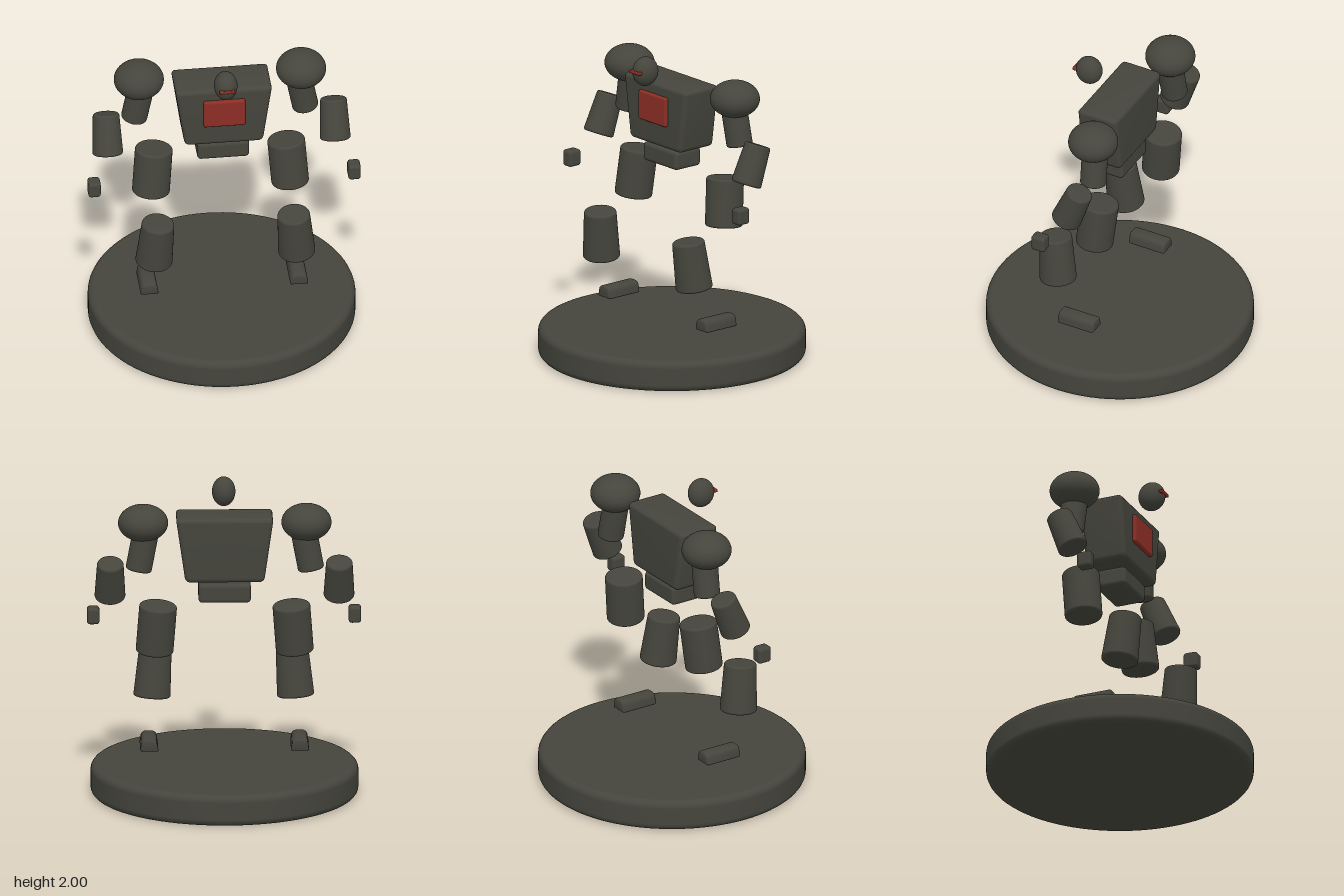
import * as THREE from 'three';
import { toCreasedNormals } from 'three/addons/utils/BufferGeometryUtils.js';
import { RoundedBoxGeometry } from 'three/addons/geometries/RoundedBoxGeometry.js';

const charcoal = new THREE.MeshStandardMaterial({ name: 'charcoal', color: 0x45453d });
const red = new THREE.MeshStandardMaterial({ name: 'red', color: 0x8c2e25 });

function part(name, geometry, material, x, y, z) {
  const mesh = new THREE.Mesh(geometry, material);
  mesh.name = name;
  mesh.position.set(x, y, z);
  return mesh;
}

// Upright solid of revolution with softened rims, centred on its middle
function softCylinder(rTop, rBottom, height, bevel, segments = 48) {
  const h = height / 2, points = [new THREE.Vector2(0, -h)];
  for (let i = 0; i <= 6; i++) {
    const a = (i / 6) * Math.PI / 2;
    points.push(new THREE.Vector2(rBottom - bevel + bevel * Math.sin(a), -h + bevel - bevel * Math.cos(a)));
  }
  for (let i = 0; i <= 6; i++) {
    const a = (i / 6) * Math.PI / 2;
    points.push(new THREE.Vector2(rTop - bevel + bevel * Math.cos(a), h - bevel + bevel * Math.sin(a)));
  }
  points.push(new THREE.Vector2(0, h));
  return new THREE.LatheGeometry(points, segments);
}

function ellipsoid(rx, ry, rz) {
  return new THREE.SphereGeometry(1, 48, 32).scale(rx, ry, rz);
}

// Trapezoid with rounded corners, extruded along z with softened faces
function softTrapezoid(halfTop, halfBottom, height, depth, rTop, rBottom, bevel) {
  const h = height / 2;
  const corners = [[-halfBottom, -h, rBottom], [halfBottom, -h, rBottom], [halfTop, h, rTop], [-halfTop, h, rTop]];
  const shape = new THREE.Shape();
  corners.forEach(([x, y, r], i) => {
    const c = new THREE.Vector2(x, y);
    const toward = (j) => {
      const [px, py] = corners[(i + j) % 4];
      return new THREE.Vector2(px, py).sub(c).setLength(r).add(c);
    };
    const a = toward(3), b = toward(1);
    if (i === 0) shape.moveTo(a.x, a.y); else shape.lineTo(a.x, a.y);
    shape.quadraticCurveTo(c.x, c.y, b.x, b.y);
  });
  shape.closePath();
  const geometry = new THREE.ExtrudeGeometry(shape, {
    depth: depth - 2 * bevel, bevelThickness: bevel, bevelSize: bevel,
    bevelOffset: -bevel, bevelSegments: 5, curveSegments: 6,
  });
  geometry.translate(0, 0, bevel - depth / 2);
  return toCreasedNormals(geometry, 0.6);
}

// Limb segment whose top points along the given direction
function limb(name, rTop, rBottom, length, position, up) {
  const mesh = part(name, softCylinder(rTop, rBottom, length, 0.015), charcoal, ...position);
  mesh.quaternion.setFromUnitVectors(new THREE.Vector3(0, 1, 0), new THREE.Vector3(...up).normalize());
  return mesh;
}

export function createModel() {
  const model = new THREE.Group();
  model.name = 'robotOnStand';

  // Stand
  model.add(part('base', softCylinder(0.844, 0.844, 0.2, 0.045, 96), charcoal, 0, 0.1, 0));

  // Torso
  model.add(part('chest', softTrapezoid(0.308, 0.248, 0.415, 0.28, 0.03, 0.035, 0.03), charcoal, 0, 1.608, 0.005));
  model.add(part('chestPanel', new RoundedBoxGeometry(0.264, 0.19, 0.04, 4, 0.012), red, 0, 1.648, 0.15));
  model.add(part('pelvis', new RoundedBoxGeometry(0.33, 0.123, 0.21, 4, 0.025), charcoal, 0, 1.322, 0.001));

  // Head
  model.add(part('head', ellipsoid(0.074, 0.094, 0.087), charcoal, 0, 1.906, 0.22));
  model.add(part('visor', new RoundedBoxGeometry(0.098, 0.02, 0.03, 3, 0.006), red, 0, 1.913, 0.301));

  // Arms and legs, mirrored
  for (const [side, s] of [['left', 1], ['right', -1]]) {
    const arm = new THREE.Group();
    arm.name = side + 'Arm';
    arm.add(part('shoulder', ellipsoid(0.158, 0.117, 0.158), charcoal, s * 0.515, 1.785, -0.084));
    arm.add(limb('upperArm', 0.083, 0.083, 0.29, [s * 0.518, 1.622, -0.094], [-s * 0.19, 1, 0.04]));
    arm.add(limb('forearm', 0.084, 0.097, 0.265, [s * 0.722, 1.405, -0.05], [0, 0.246, -0.1]));
    arm.add(part('hand', new RoundedBoxGeometry(0.079, 0.106, 0.096, 4, 0.02), charcoal, s * 0.825, 1.128, 0.13));

    const leg = new THREE.Group();
    leg.name = side + 'Leg';
    leg.add(limb('thigh', 0.119, 0.119, 0.314, [s * 0.431, 1.092, -0.069], [-s * 0.075, 1, -0.1]));
    leg.add(limb('shin', 0.103, 0.117, 0.316, [s * 0.442, 0.731, 0.214], [-s * 0.076, 1, 0.1]));
    leg.add(part('foot', softTrapezoid(0.047, 0.058, 0.076, 0.254, 0.035, 0.01, 0.014), charcoal, s * 0.475, 0.328, 0.037));
    model.add(arm, leg);
  }
  return model;
}
